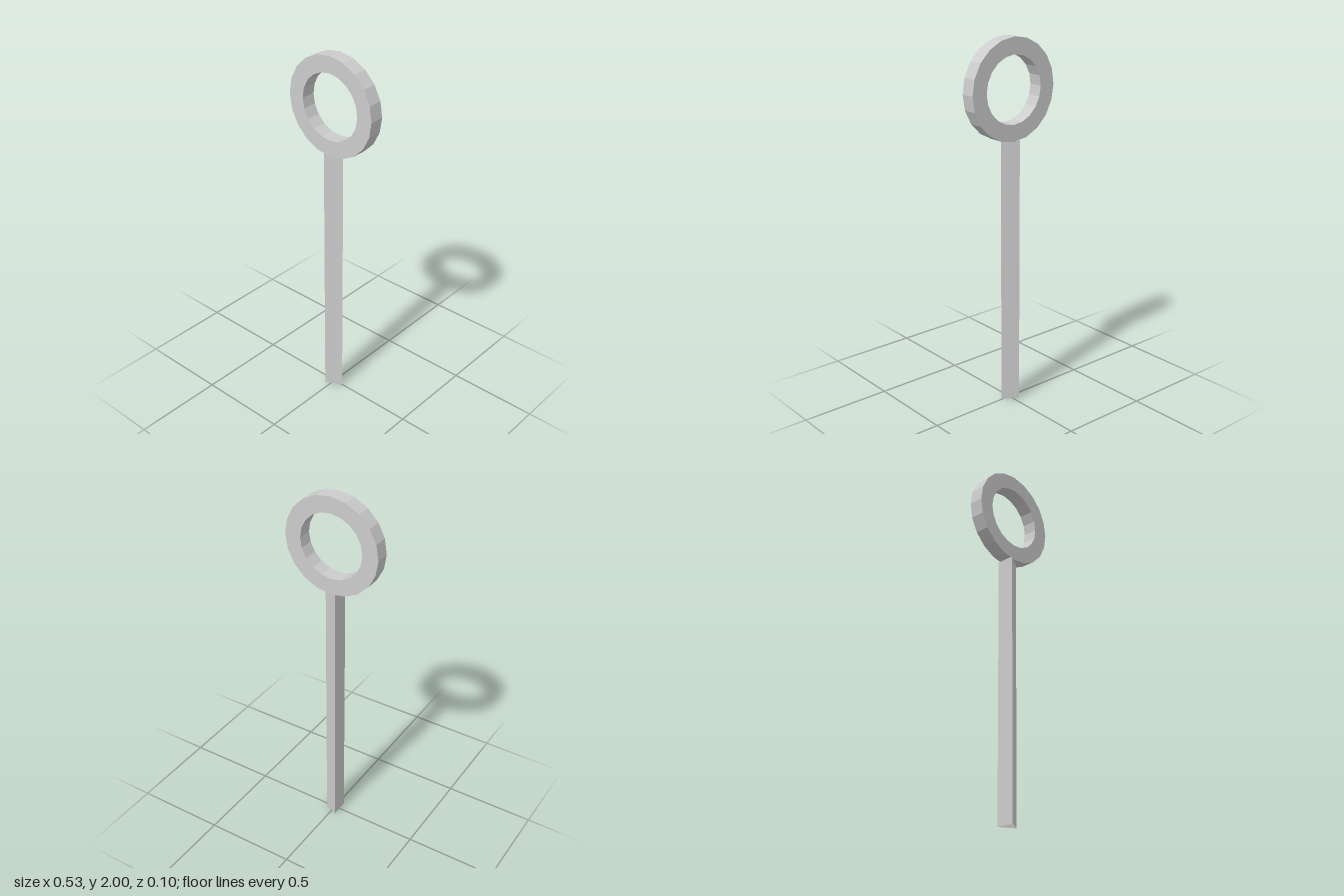
import * as THREE from 'three';

const RING_Y = 1.7335, OUTER = 0.2665, INNER = 0.178, DEPTH = 0.079, SIDES = 20;
const POLE_TOP = 1.472, POLE_RADIUS = 0.057;

// Corners of a regular polygon, counter-clockwise from the top
function polygon(radius) {
  return Array.from({ length: SIDES }, (_, i) => {
    const a = (i / SIDES) * Math.PI * 2;
    return new THREE.Vector2(-Math.sin(a) * radius, Math.cos(a) * radius);
  });
}

export function createModel() {
  const model = new THREE.Group();
  model.name = 'ringOnPole';

  const metal = new THREE.MeshStandardMaterial({
    color: 0xcccccc, flatShading: true, side: THREE.DoubleSide,
  });
  metal.name = 'lightGrey';

  // Upright faceted hoop
  const hoop = new THREE.Shape(polygon(OUTER));
  hoop.holes.push(new THREE.Path(polygon(INNER)));
  const ringGeometry = new THREE.ExtrudeGeometry(hoop, { depth: DEPTH, bevelEnabled: false });
  ringGeometry.translate(0, 0, -DEPTH / 2);
  const ring = new THREE.Mesh(ringGeometry, metal);
  ring.name = 'ring';
  ring.position.y = RING_Y;

  // Hollow three-sided pole, open at both ends, with one edge towards +x
  const poleGeometry = new THREE.CylinderGeometry(POLE_RADIUS, POLE_RADIUS, POLE_TOP, 3, 1, true);
  poleGeometry.rotateY(Math.PI / 2);
  const pole = new THREE.Mesh(poleGeometry, metal);
  pole.name = 'pole';
  pole.position.set(-0.001, POLE_TOP / 2, 0);

  model.add(ring, pole);
  return model;
}
